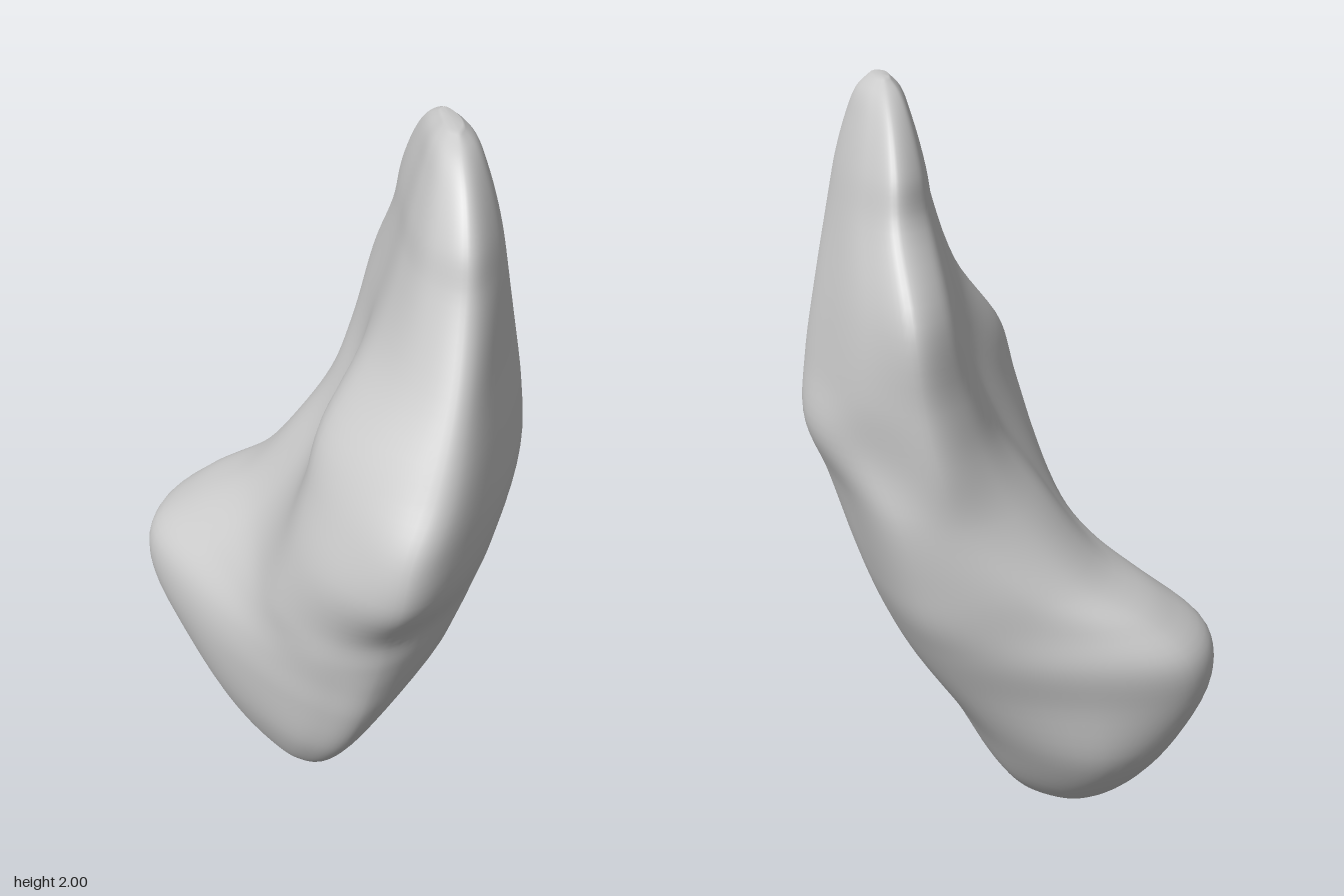
import * as THREE from 'three';

const AROUND = 88, ALONG = 90;

// One horizontal cross-section: x, z pairs, starting at the front and running
// round by the model's left (+x), the back and the right (-x).
function section(y, xz) {
  const points = [];
  for (let i = 0; i < xz.length; i += 2) points.push(new THREE.Vector3(xz[i], y, xz[i + 1]));
  return points;
}

// A section shrunk toward a centre, for the rounded ends
function shrink(points, y, sx, sz, cx, cz) {
  return points.map(p => new THREE.Vector3(cx + (p.x - cx) * sx, y, cz + (p.z - cz) * sz));
}

// Smooth skin through the sections, closed at both ends
function skin(sections) {
  const loops = sections.map(s => {
    const curve = new THREE.CatmullRomCurve3(s, true);
    return Array.from({ length: AROUND }, (_, i) => curve.getPoint(i / AROUND));
  });
  const ribs = loops[0].map((_, i) => new THREE.CatmullRomCurve3(loops.map(l => l[i])));
  const position = [], index = [];
  for (let j = 0; j <= ALONG; j++) {
    for (const rib of ribs) position.push(...rib.getPoint(j / ALONG).toArray());
  }
  for (let j = 0; j < ALONG; j++) {
    for (let i = 0; i < AROUND; i++) {
      const k = (i + 1) % AROUND;
      const a = j * AROUND + i, b = j * AROUND + k;
      index.push(a, b, b + AROUND, a, b + AROUND, a + AROUND);
    }
  }
  // End caps
  const last = ALONG * AROUND;
  for (const [row, up] of [[0, false], [last, true]]) {
    const centre = new THREE.Vector3();
    for (let i = 0; i < AROUND; i++) centre.add(new THREE.Vector3().fromArray(position, (row + i) * 3));
    const c = position.length / 3;
    position.push(...centre.divideScalar(AROUND).toArray());
    for (let i = 0; i < AROUND; i++) {
      const k = (i + 1) % AROUND;
      if (up) index.push(row + i, row + k, c);
      else index.push(row + k, row + i, c);
    }
  }
  const geometry = new THREE.BufferGeometry();
  geometry.setAttribute('position', new THREE.Float32BufferAttribute(position, 3));
  geometry.setIndex(index);
  geometry.computeVertexNormals();
  return geometry;
}

export function createModel() {
  // Rounded foot leaning toward the bulge on the back right
  const foot = section(0.3, [-0.08, 0.33, 0.05, 0.2, 0.11, 0.04, 0.11, -0.16, 0.05, -0.36, -0.16, -0.53, -0.35, -0.5, -0.42, -0.35, -0.38, -0.1, -0.27, 0.15, -0.17, 0.29]);
  const bulge = [
    section(0.5, [-0.04, 0.42, 0.15, 0.27, 0.235, 0.06, 0.24, -0.16, 0.17, -0.38, -0.12, -0.565, -0.38, -0.585, -0.495, -0.43, -0.42, -0.1, -0.28, 0.2, -0.15, 0.37]),
    section(0.62, [-0.02, 0.45, 0.2, 0.305, 0.295, 0.06, 0.3, -0.16, 0.23, -0.4, -0.05, -0.57, -0.35, -0.605, -0.48, -0.43, -0.4, -0.1, -0.26, 0.24, -0.14, 0.4]),
    section(0.72, [0, 0.47, 0.23, 0.325, 0.335, 0.06, 0.34, -0.16, 0.27, -0.42, 0, -0.55, -0.26, -0.56, -0.36, -0.4, -0.32, -0.1, -0.25, 0.25, -0.14, 0.42]),
  ];
  // Waist and the knob on the front
  const knob = [
    section(0.82, [0.01, 0.49, 0.25, 0.35, 0.37, 0.06, 0.37, -0.16, 0.3, -0.42, 0.07, -0.53, -0.1, -0.5, -0.2, -0.36, -0.22, -0.1, -0.24, 0.26, -0.13, 0.44]),
    section(1.0, [0.02, 0.6, 0.28, 0.4, 0.425, 0.07, 0.42, -0.15, 0.35, -0.4, 0.2, -0.485, 0.04, -0.44, -0.06, -0.32, -0.1, -0.08, -0.2, 0.27, -0.12, 0.49]),
    section(1.15, [0.04, 0.61, 0.31, 0.395, 0.475, 0.07, 0.475, -0.14, 0.39, -0.33, 0.25, -0.48, 0.12, -0.42, 0.04, -0.3, -0.01, -0.08, -0.155, 0.25, -0.09, 0.47]),
    section(1.3, [0.11, 0.555, 0.315, 0.37, 0.465, 0.07, 0.455, -0.14, 0.395, -0.34, 0.28, -0.47, 0.17, -0.42, 0.1, -0.3, 0.06, -0.08, -0.105, 0.21, -0.04, 0.42]),
  ];
  // Thin upper blade
  const blade = section(1.5, [0.17, 0.465, 0.32, 0.31, 0.43, 0.07, 0.425, -0.14, 0.38, -0.33, 0.3, -0.46, 0.21, -0.41, 0.15, -0.28, 0.11, -0.08, 0.04, 0.16, 0.07, 0.36]);
  const crest = section(1.7, [0.21, 0.37, 0.325, 0.26, 0.385, 0.09, 0.39, -0.08, 0.36, -0.22, 0.3, -0.315, 0.22, -0.27, 0.18, -0.18, 0.15, -0.04, 0.115, 0.14, 0.13, 0.29]);

  const footEnd = [[0, 0.1, 0.1], [0.025, 0.33, 0.33], [0.1, 0.6, 0.62]];
  const crestEnd = [[1.8, 0.84, 0.9], [1.9, 0.62, 0.69], [1.965, 0.42, 0.46], [2, 0.16, 0.22]];
  const sections = [
    ...footEnd.map(([y, sx, sz]) => shrink(foot, y, sx, sz, -0.16, -0.11)),
    foot, ...bulge, ...knob, blade, crest,
    ...crestEnd.map(([y, sx, sz]) => shrink(crest, y, sx, sz, 0.255, 0.035)),
  ];
  const rock = new THREE.Mesh(skin(sections), new THREE.MeshStandardMaterial({ color: 0xcccccc }));
  rock.name = 'rock';
  const group = new THREE.Group();
  group.name = 'stone';
  group.add(rock);
  return group;
}
